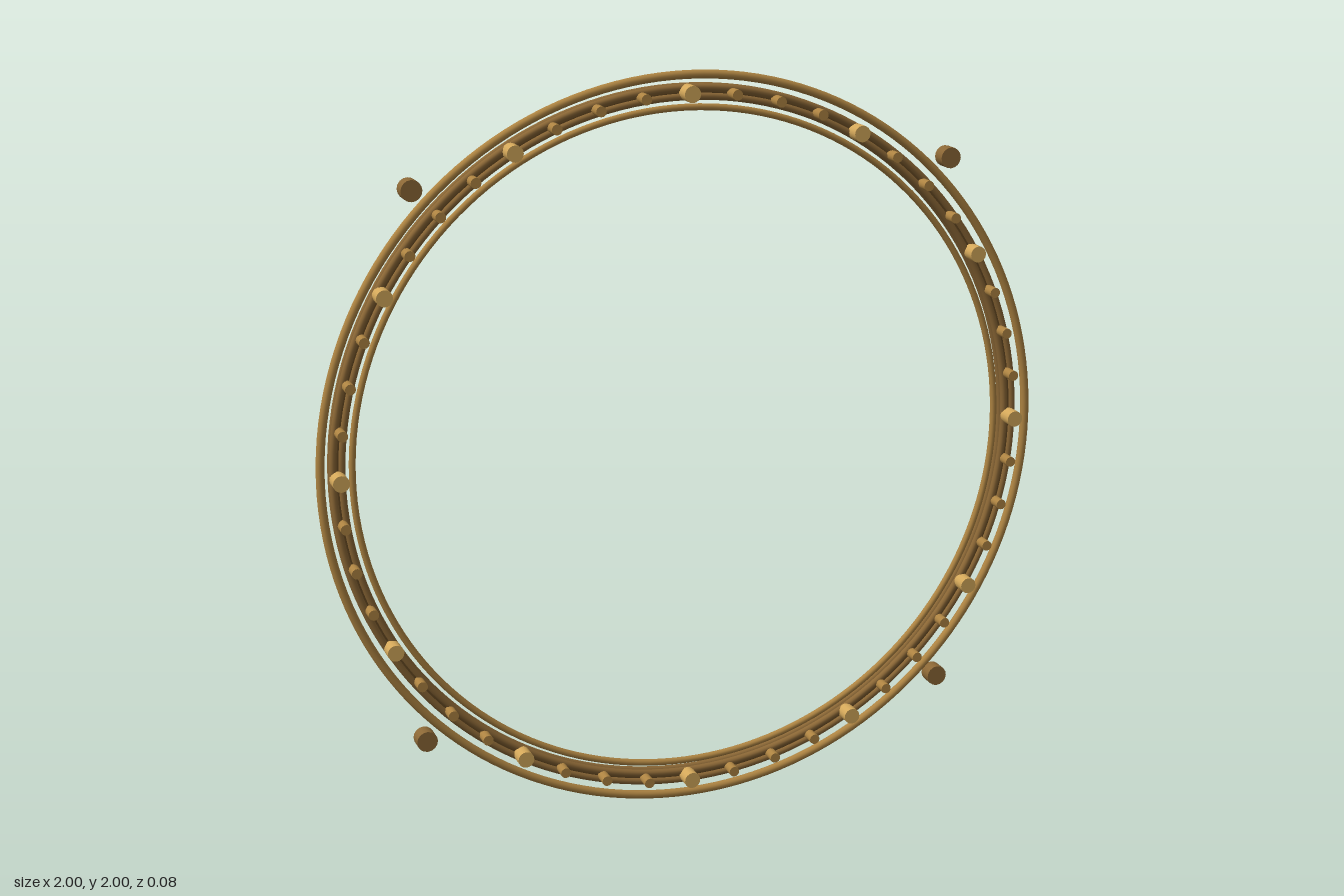
import * as THREE from 'three';

const colour = (name, hex) => {
  const material = new THREE.MeshStandardMaterial({ color: hex });
  material.name = name;
  return material;
};
const brass = colour('brass', 0xae8442);
const bronze = colour('bronze', 0x8c6836);
const darkBronze = colour('dark bronze', 0x644821);
const paleBrass = colour('pale brass', 0xd4a85a);

export function createModel() {
  const model = new THREE.Group();
  model.name = 'ringFrame';
  const add = (name, geometry, material, x, y, z) => {
    const mesh = new THREE.Mesh(geometry, material);
    mesh.name = name;
    mesh.position.set(x, y, z);
    model.add(mesh);
  };

  // Concentric hoops
  const hoop = (name, radius, tube, z, material) =>
    add(name, new THREE.TorusGeometry(radius, tube, 12, 160), material, 0, 1, z);
  hoop('outerHoop', 0.9885, 0.0115, 0.003, brass);
  hoop('innerHoop', 0.902, 0.009, -0.015, brass);

  // Main hoop: a dark core with four ridges, leaving fine grooves between them
  hoop('mainHoopCore', 0.942, 0.015, -0.02, darkBronze);
  for (const dr of [-1, 1]) {
    for (const dz of [-1, 1]) hoop('mainHoopRidge', 0.942 + dr * 0.0115, 0.0098, -0.02 + dz * 0.0115, bronze);
  }

  // Cylinder lying along z, from the back to the front depth
  const peg = (radius, back, front) =>
    new THREE.CylinderGeometry(radius, radius, front - back, 16)
      .rotateX(Math.PI / 2)
      .translate(0, 0, (front + back) / 2);

  // Studs round the main hoop, every fourth one larger
  const largeStud = peg(0.022, -0.005, 0.041);
  const smallStud = peg(0.014, -0.005, 0.039);
  for (let i = 0; i < 48; i++) {
    const a = (i / 48) * Math.PI * 2;
    const large = i % 4 === 0;
    add(large ? 'largeStud' : 'smallStud', large ? largeStud : smallStud,
      large ? paleBrass : brass, 0.942 * Math.cos(a), 1 + 0.942 * Math.sin(a), 0);
  }

  // Four mounting pegs outside the hoops on the diagonals
  const mount = peg(0.028, -0.019, 0.023);
  for (const sx of [-1, 1]) {
    for (const sy of [-1, 1]) add('mountingPeg', mount, bronze, sx * 0.735, 1 + sy * 0.735, 0);
  }
  return model;
}
